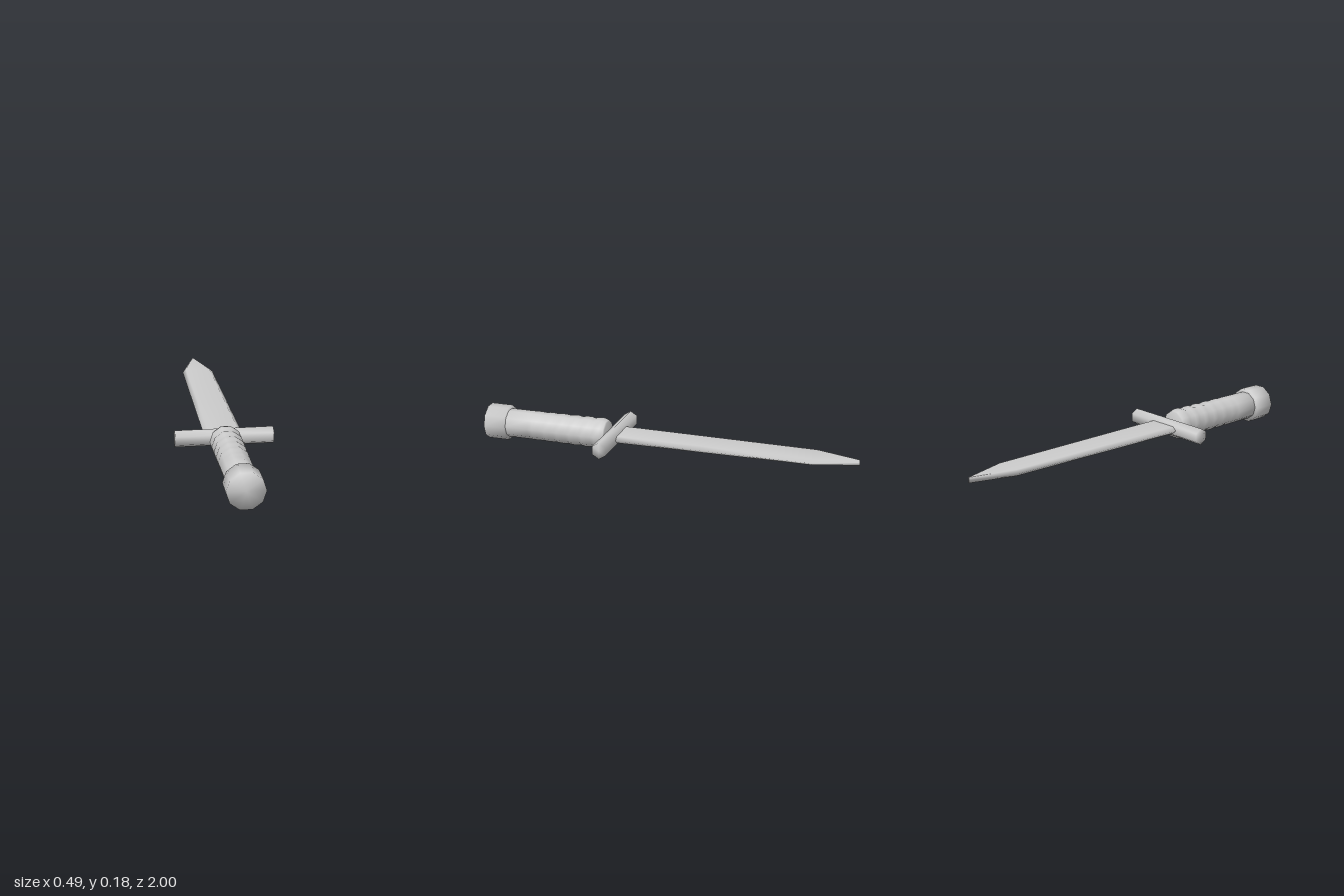
import * as THREE from 'three';
import { mergeVertices } from 'three/addons/utils/BufferGeometryUtils.js';

const material = new THREE.MeshStandardMaterial({ color: 0xcccccc });
const CENTRE_Y = 0.09;

// Weld all corners so shading flows smoothly over the low-poly edges
function smoothMesh(name, geometry) {
  geometry.deleteAttribute('normal');
  geometry.deleteAttribute('uv');
  const welded = mergeVertices(geometry, 1e-4);
  welded.computeVertexNormals();
  const mesh = new THREE.Mesh(welded, material);
  mesh.name = name;
  mesh.position.y = CENTRE_Y;
  return mesh;
}

// Ten-sided turned part along z; profile is [radius, z] with z rising
function turned(name, profile) {
  const points = profile.map(([r, z]) => new THREE.Vector2(r, z));
  const geometry = new THREE.LatheGeometry(points, 10, Math.PI / 2);
  return smoothMesh(name, geometry.rotateX(Math.PI / 2));
}

// Flattened hexagonal blade lofted from [z, half width, half flat, half thickness]
function bladeGeometry() {
  const stations = [
    [0.255, 0.097, 0.075, 0.0185],
    [-0.2, 0.092, 0.071, 0.0175],
    [-0.77, 0.086, 0.066, 0.016],
    [-1, 0.003, 0.002, 0.014],
  ];
  const positions = [];
  const index = [];
  for (const [z, w, f, h] of stations) {
    const ring = [[w, 0], [f, h], [-f, h], [-w, 0], [-f, -h], [f, -h]];
    for (const [x, y] of ring) positions.push(x, y, z);
  }
  const last = (stations.length - 1) * 6;
  for (let s = 0; s < last; s += 6) {
    for (let j = 0; j < 6; j++) {
      const k = (j + 1) % 6;
      index.push(s + j, s + 6 + j, s + k, s + k, s + 6 + j, s + 6 + k);
    }
  }
  // End caps
  for (let j = 1; j < 5; j++) {
    index.push(0, j, j + 1, last, last + j + 1, last + j);
  }
  const geometry = new THREE.BufferGeometry();
  geometry.setAttribute('position', new THREE.Float32BufferAttribute(positions, 3));
  geometry.setIndex(index);
  return geometry;
}

export function createModel() {
  const model = new THREE.Group();
  model.name = 'dagger';

  // Blade
  const blade = smoothMesh('blade', bladeGeometry());
  blade.position.y = 0.0935;
  model.add(blade);

  // Six-sided crossguard
  const guard = new THREE.CylinderGeometry(0.044, 0.044, 0.494, 6, 1, false, Math.PI / 2);
  guard.rotateZ(Math.PI / 2).scale(1, 1, 0.94).translate(0, 0, 0.29);
  model.add(smoothMesh('crossguard', guard));

  // Grip with finger ridges that fade towards the pommel
  const profile = [[0, 0.31], [0.07, 0.328]];
  const ridges = 6;
  const pitch = 0.07;
  for (let i = 0; i < ridges; i++) {
    const z = 0.335 + i * pitch;
    const swell = 0.005 * (1 - i / ridges);
    profile.push([0.075, z], [0.076 + swell, z + pitch * 0.3], [0.076 + swell, z + pitch * 0.7]);
  }
  profile.push([0.076, 0.76], [0.076, 0.89], [0, 0.89]);
  model.add(turned('grip', profile));

  // Pommel
  model.add(turned('pommel', [[0, 0.885], [0.094, 0.885], [0.094, 1], [0, 1]]));

  return model;
}
